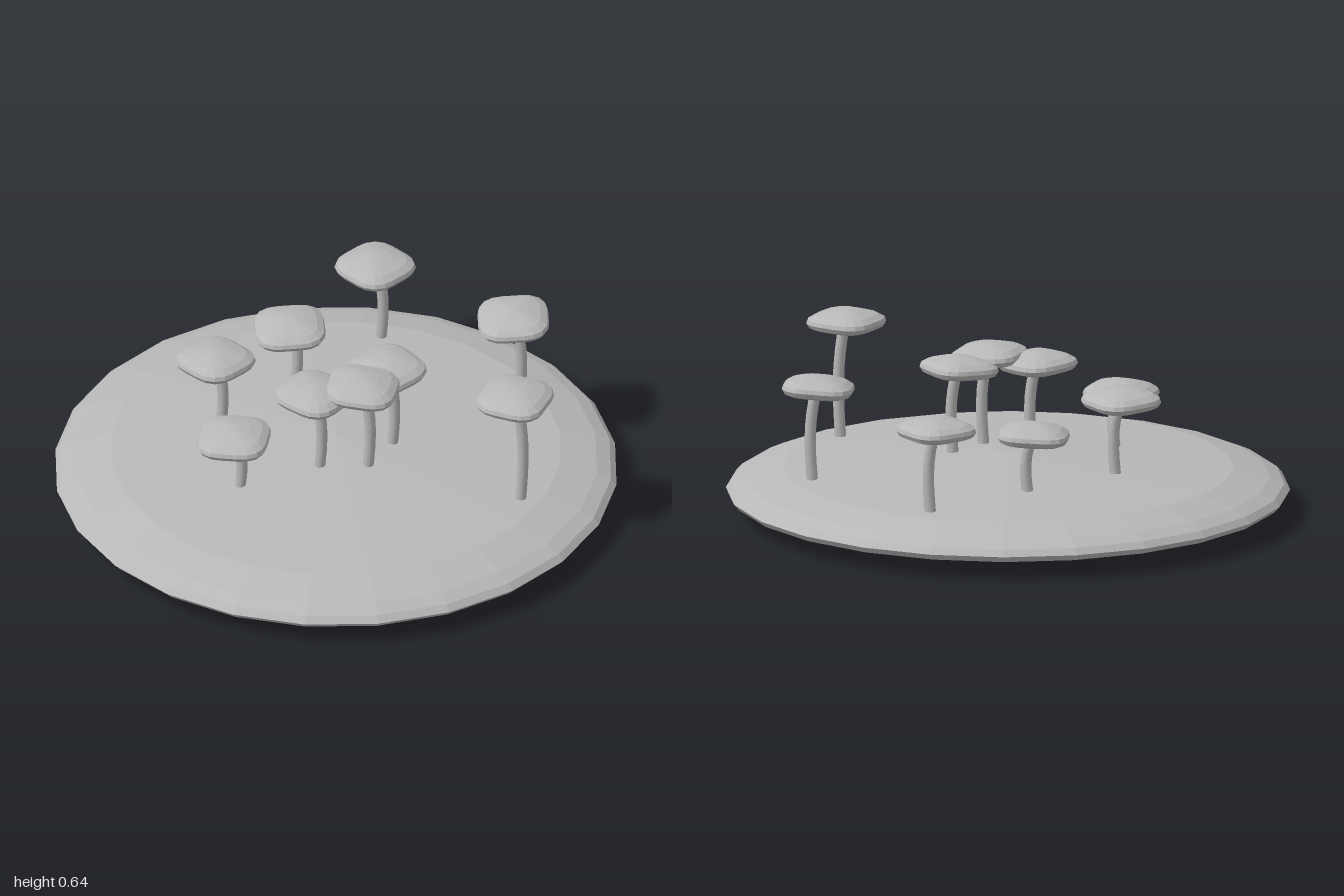
import * as THREE from 'three';

// Height of the mound's upper surface at distance r from the middle
const moundTop = (r) => 0.225 - 0.055 * r / 0.8;

// x, z, underside height, turn (degrees, clockwise from above), tilt about x, tilt about z
const MUSHROOMS = [
  [0.06, -0.715, 0.445, 39, 0, 0],
  [-0.21, -0.405, 0.37, -11, 0.03, 0.03],
  [0.59, -0.385, 0.483, -9, 0.06, 0.04],
  [-0.44, -0.08, 0.435, 39, -0.03, 0],
  [0.18, -0.005, 0.492, 45, 0.05, 0.03],
  [-0.06, 0.17, 0.485, 31, 0, -0.03],
  [0.11, 0.145, 0.51, 5, 0, -0.04],
  [-0.33, 0.3, 0.365, 3, 0.02, 0.03],
  [0.665, 0.24, 0.57, 16, 0, 0],
];

const lathe = (pairs, sides) =>
  new THREE.LatheGeometry(pairs.map(([r, y]) => new THREE.Vector2(r, y)), sides);

// Domed cap with a softly squared outline
function capGeometry() {
  const geo = lathe([
    [0, 0.004], [0.105, 0], [0.125, 0.008], [0.135, 0.024], [0.13, 0.038],
    [0.105, 0.053], [0.06, 0.066], [0.025, 0.072], [0, 0.073],
  ], 24);
  const p = geo.attributes.position;
  for (let i = 0; i < p.count; i++) {
    const x = p.getX(i), z = p.getZ(i);
    const k = 1 - 0.07 * Math.cos(4 * Math.atan2(z, x));
    p.setX(i, x * k);
    p.setZ(i, z * k);
  }
  geo.computeVertexNormals();
  return geo;
}

// Slightly bowed stem rising from the mound into the cap
function stemGeometry(x, z, capY) {
  const baseY = moundTop(Math.hypot(x, z)) - 0.02;
  const at = (dx, t) => new THREE.Vector3(x + dx, THREE.MathUtils.lerp(baseY, capY + 0.02, t), z);
  const curve = new THREE.CatmullRomCurve3([at(0.02, 0), at(0.028, 0.35), at(0.026, 0.65), at(0.008, 1)]);
  return new THREE.TubeGeometry(curve, 8, 0.02, 10, false);
}

export function createModel() {
  const model = new THREE.Group();
  const grey = new THREE.MeshStandardMaterial({ color: 0xb8b8b8 });
  grey.name = 'plain grey';
  const facetedGrey = grey.clone();
  facetedGrey.flatShading = true;

  // Low faceted mound of ground
  const mound = new THREE.Mesh(lathe([
    [0, 0], [0.93, 0.055], [0.98, 0.068], [1, 0.09], [0.98, 0.112],
    [0.93, 0.135], [0.8, 0.17], [0, 0.225],
  ], 24), facetedGrey);
  mound.name = 'mound';
  model.add(mound);

  // Scattered mushrooms
  const capGeo = capGeometry();
  MUSHROOMS.forEach(([x, z, y, turn, tiltX, tiltZ]) => {
    const mushroom = new THREE.Group();
    mushroom.name = 'mushroom';

    const stem = new THREE.Mesh(stemGeometry(x, z, y), grey);
    stem.name = 'stem';

    const capTilt = new THREE.Group();
    capTilt.name = 'capTilt';
    capTilt.position.set(x, y, z);
    capTilt.rotation.set(tiltX, 0, tiltZ);
    const cap = new THREE.Mesh(capGeo, facetedGrey);
    cap.name = 'cap';
    cap.rotation.y = -THREE.MathUtils.degToRad(turn);
    capTilt.add(cap);

    mushroom.add(stem, capTilt);
    model.add(mushroom);
  });

  return model;
}
